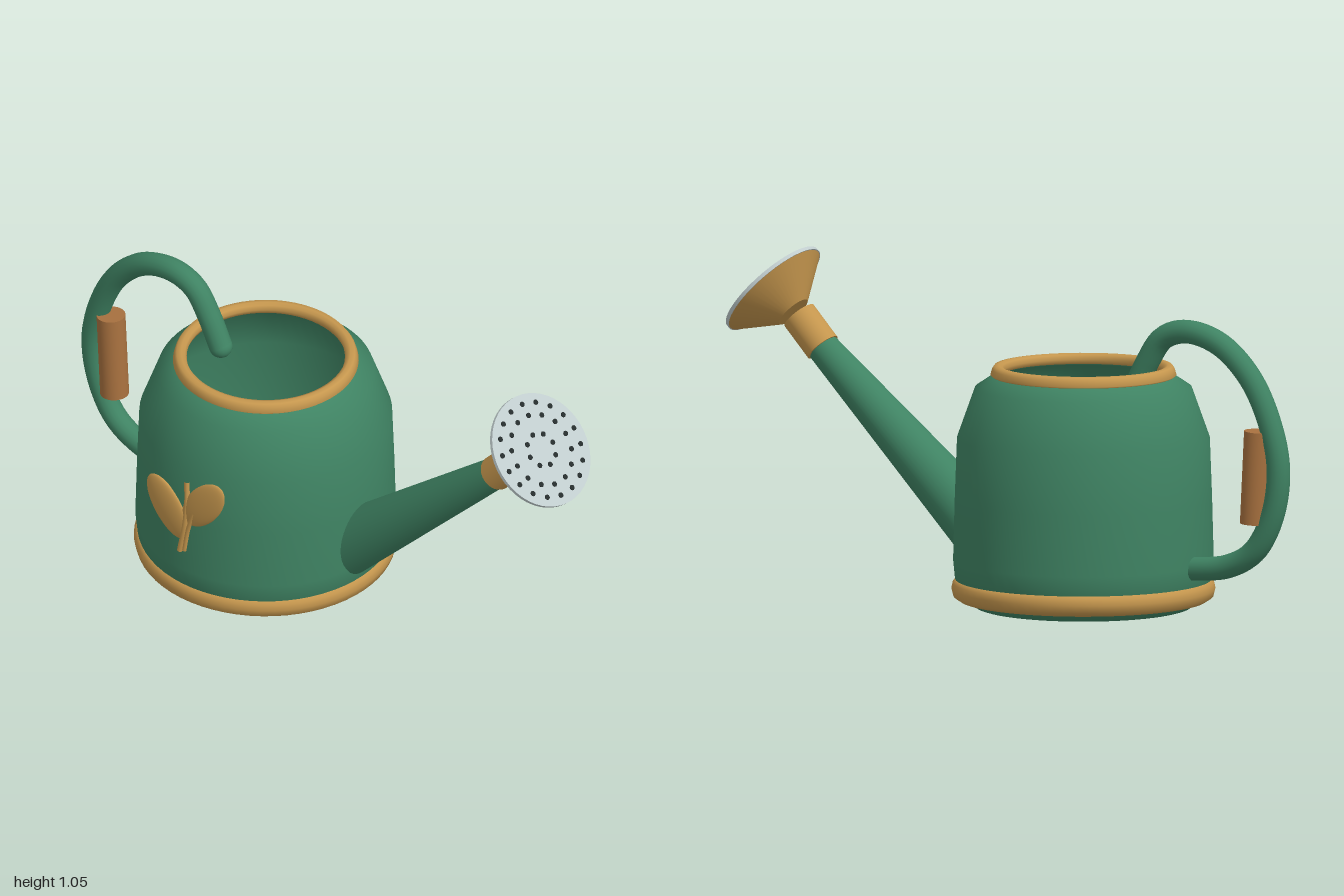
import * as THREE from 'three';

const V = (x, y, z = 0) => new THREE.Vector3(x, y, z);
const material = (name, color) => {
  const m = new THREE.MeshStandardMaterial({ color });
  m.name = name;
  return m;
};

export function createModel() {
  const green = material('green enamel', 0x3f8363);
  const gold = material('brass', 0xc6974e);
  const wood = material('wooden grip', 0xa8713f);
  const steel = material('pale steel', 0xc0cccd);
  const dark = material('hole dark', 0x252c2c);

  const can = new THREE.Group();
  can.name = 'wateringCan';
  const bodyX = -0.255;

  const add = (name, geometry, mat, parent = can) => {
    const mesh = new THREE.Mesh(geometry, mat);
    mesh.name = name;
    parent.add(mesh);
    return mesh;
  };
  // Turned part around the body's axis, profile as [radius, height]
  const turned = (name, profile, mat) => {
    const points = profile.map(([r, y]) => new THREE.Vector2(r, y));
    add(name, new THREE.LatheGeometry(points, 64), mat).position.x = bodyX;
  };
  // Round rod or cone between two points
  const rod = (name, a, b, ra, rb, mat, sides = 32) => {
    const mesh = add(name, new THREE.CylinderGeometry(rb, ra, a.distanceTo(b), sides), mat);
    mesh.position.copy(a).lerp(b, 0.5);
    mesh.quaternion.setFromUnitVectors(V(0, 1), b.clone().sub(a).normalize());
    return mesh;
  };
  const tube = (name, points, r, mat, parent, segments = 80) =>
    add(name, new THREE.TubeGeometry(new THREE.CatmullRomCurve3(points), segments, r, 16), mat, parent);

  // Body: outer wall, then back down the hollow inside
  turned('body', [
    [0, 0], [0.325, 0], [0.335, 0.003], [0.375, 0.035], [0.398, 0.09], [0.404, 0.15],
    [0.399, 0.34], [0.392, 0.53], [0.336, 0.687], [0.28, 0.725], [0.262, 0.735],
    [0.255, 0.72], [0.318, 0.675], [0.376, 0.52], [0.386, 0.15], [0.36, 0.04], [0.34, 0.03], [0, 0.03],
  ], green);
  turned('baseBand', [
    [0.365, 0.024], [0.385, 0.024], [0.403, 0.036], [0.409, 0.06], [0.405, 0.078], [0.396, 0.091], [0.38, 0.091],
  ], gold);
  turned('rim', [
    [0.26, 0.722], [0.282, 0.722], [0.288, 0.727], [0.283, 0.745], [0.276, 0.755], [0.262, 0.757],
    [0.25, 0.752], [0.245, 0.738], [0.25, 0.724], [0.26, 0.722],
  ], gold);

  // Spout with its collar
  rod('spout', V(0.06, 0.165), V(0.69, 0.742), 0.102, 0.05, green, 40);
  rod('spoutCollar', V(0.69, 0.741), V(0.776, 0.835), 0.056, 0.056, gold);

  // Sprinkler head, built pointing up and tilted as one
  const head = new THREE.Group();
  head.name = 'sprinklerHead';
  head.position.set(0.869, 0.911, 0);
  head.rotation.z = -0.823;
  can.add(head);
  add('headCone', new THREE.CylinderGeometry(0.18, 0.057, 0.095, 48), gold, head).position.y = -0.0515;
  add('headPlate', new THREE.CylinderGeometry(0.183, 0.183, 0.012, 48), steel, head).position.y = 0.002;
  for (const [count, radius] of [[8, 0.053], [14, 0.114], [18, 0.153]]) {
    for (let i = 0; i < count; i++) {
      const a = (i / count) * Math.PI * 2;
      const hole = add('sprinklerHole', new THREE.CylinderGeometry(0.0085, 0.0085, 0.004, 12), dark, head);
      // rings start on the sideways axis
      hole.position.set(Math.sin(a) * radius, 0.0085, Math.cos(a) * radius);
    }
  }

  // Handle loop and grip
  const handlePath = [
    [-0.44, 0.69], [-0.488, 0.785], [-0.545, 0.863], [-0.63, 0.889], [-0.75, 0.858], [-0.86, 0.76],
    [-0.932, 0.62], [-0.962, 0.48], [-0.94, 0.335], [-0.875, 0.22], [-0.78, 0.166], [-0.62, 0.145],
  ].map(([x, y]) => V(x, y));
  tube('handle', handlePath, 0.037, green);
  add('handleEnd', new THREE.SphereGeometry(0.037, 20, 12), green).position.copy(handlePath[0]);
  rod('handleGrip', V(-0.875, 0.307), V(-0.89, 0.597), 0.045, 0.045, wood);

  // Sprig on the front: two flattened leaves and a stem
  const sprig = new THREE.Group();
  sprig.name = 'sprig';
  can.add(sprig);
  const leaf = (name, x, y, angle, halfLength, halfWidth, turn) => {
    const mesh = add(name, new THREE.SphereGeometry(1, 32, 20), gold, sprig);
    mesh.scale.set(halfLength, halfWidth, 0.016);
    mesh.position.set(x, y, 0.394);
    mesh.rotation.set(0, turn, angle);
  };
  leaf('leftLeaf', -0.313, 0.352, -0.86, 0.116, 0.066, -0.05);
  leaf('rightLeaf', -0.168, 0.425, 0.92, 0.114, 0.056, 0.05);
  tube('stem', [V(-0.258, 0.217, 0.403), V(-0.238, 0.32, 0.402), V(-0.232, 0.4, 0.399), V(-0.236, 0.484, 0.394)],
    0.009, gold, sprig, 24);
  tube('twig', [V(-0.24, 0.225, 0.402), V(-0.225, 0.31, 0.402), V(-0.2, 0.385, 0.404)],
    0.007, gold, sprig, 20);

  return can;
}
